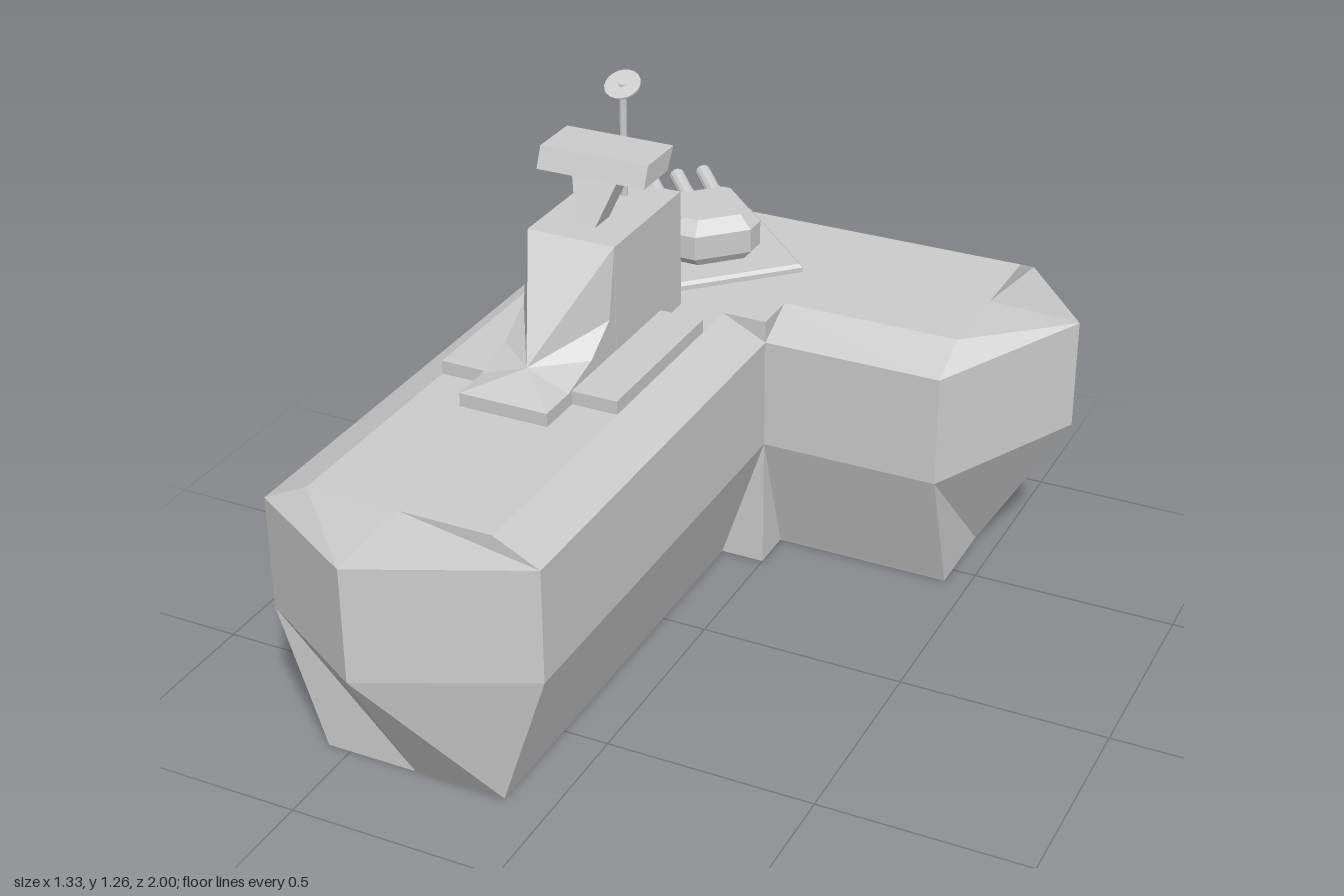
import * as THREE from 'three';

const material = new THREE.MeshStandardMaterial({ color: 0xcccccc, flatShading: true });

function part(name, geometry, x = 0, y = 0, z = 0) {
  const mesh = new THREE.Mesh(geometry, material);
  mesh.name = name;
  mesh.position.set(x, y, z);
  return mesh;
}

// Skin rings of [x, y, z] points, listed top to bottom, each counter-clockwise from above.
function loft(rings, capTop = true) {
  const out = [];
  const a = new THREE.Vector3(), b = new THREE.Vector3();
  const tri = (p, q, r) => {
    a.fromArray(q).sub(new THREE.Vector3(...p));
    b.fromArray(r).sub(new THREE.Vector3(...p));
    if (a.cross(b).lengthSq() > 1e-12) out.push(...p, ...q, ...r);
  };
  for (let k = 0; k < rings.length - 1; k++) {
    const t = rings[k], u = rings[k + 1];
    for (let i = 0; i < t.length; i++) {
      const j = (i + 1) % t.length;
      tri(t[i], u[i], u[j]);
      tri(t[i], u[j], t[j]);
    }
  }
  const cap = (ring, up) => {
    const flat = ring.map(p => new THREE.Vector2(p[0], p[2]));
    for (const [i, j, k] of THREE.ShapeUtils.triangulateShape(flat, [])) {
      const [p, q, r] = [ring[i], ring[j], ring[k]];
      const ny = (q[2] - p[2]) * (r[0] - p[0]) - (q[0] - p[0]) * (r[2] - p[2]);
      if ((ny > 0) === up) tri(p, q, r); else tri(p, r, q);
    }
  };
  if (capTop) cap(rings[0], true);
  cap(rings[rings.length - 1], false);
  const geometry = new THREE.BufferGeometry();
  geometry.setAttribute('position', new THREE.Float32BufferAttribute(out, 3));
  geometry.computeVertexNormals();
  return geometry;
}

const rect = (hx, y, z0, z1) => [[-hx, y, z0], [-hx, y, z1], [hx, y, z1], [hx, y, z0]];

// L-shaped hull: the two pointed ends sit a little higher than the rest of each ring.
function hull() {
  const wide = [
    [-0.667, 0.77], [-0.333, 1], [0, 0.77], [0, -0.335], [0, -0.335], [0, -0.335],
    [0.44, -0.335], [0.665, -0.667], [0.44, -1], [-0.333, -1], [-0.667, -0.667]];
  const inset = [
    [-0.556, 0.77], [-0.333, 0.77], [-0.11, 0.77], [-0.11, -0.335], [0, -0.335], [0, -0.445],
    [0.44, -0.445], [0.44, -0.667], [0.44, -0.89], [-0.29, -0.89], [-0.556, -0.62]];
  const ring = (points, y, tipY = y) =>
    points.map(([x, z], i) => [x, i === 1 || i === 7 ? tipY : y, z]);
  return part('hull', loft([
    ring(inset, 0.667), ring(wide, 0.612, 0.657), ring(wide, 0.335, 0.382), ring(inset, 0)]));
}

// Tower, faceted prow, bridge and mast
function superstructure() {
  const group = new THREE.Group();
  group.name = 'superstructure';
  group.position.x = -0.333;

  group.add(part('sideDeck', new THREE.BoxGeometry(0.445, 0.033, 0.44), 0, 0.6835, -0.005));
  group.add(part('tower', new THREE.BoxGeometry(0.222, 0.293, 0.335), 0, 0.8135, -0.1675));

  // Facets radiating from one raised point, over short vertical walls
  const side = [[0.11, 0.96, 0], [0.11, 0.79, 0.03], [0.11, 0.73, 0.12], [0.11, 0.7, 0.23], [0.11, 0.7, 0.33]];
  const rim = [...side.map(([x, y, z]) => [-x, y, z]), [0, 0.7, 0.33], ...side.slice().reverse()];
  const peak = rim.map(() => [0, 0.735, 0.22]);
  const foot = rim.map(([x, , z]) => [x, 0.667, z]);
  group.add(part('towerProw', loft([peak, rim, foot], false)));

  group.add(part('bridgeNeck', loft([rect(0.06, 1.066, -0.195, -0.123), rect(0.025, 0.96, -0.14, -0.07)])));
  group.add(part('bridge', loft([rect(0.137, 1.115, -0.247, -0.118), rect(0.137, 1.065, -0.215, -0.097)])));

  group.add(part('mast', new THREE.CylinderGeometry(0.009, 0.009, 0.275, 10), 0, 1.0975, -0.265));
  const dish = part('radarDish', new THREE.CylinderGeometry(0.043, 0.043, 0.004, 20), 0, 1.233, -0.265);
  dish.rotation.x = Math.PI / 6;
  group.add(dish);
  return group;
}

// Three-barrel turret on a square plate, turned towards the outer corner
function turret() {
  const group = new THREE.Group();
  group.name = 'turret';
  group.position.set(-0.287, 0.667, -0.62);
  group.rotation.y = -3 * Math.PI / 4;

  group.add(part('turretPlate', loft([
    rect(0.175, 0.02, -0.175, 0.175), rect(0.183, 0.012, -0.183, 0.183), rect(0.183, 0, -0.183, 0.183)])));

  const body = (h, y, cut) => [
    [-h, y, -h + cut], [-h, y, h - cut / 2], [-h + cut / 2, y, h], [h - cut / 2, y, h],
    [h, y, h - cut / 2], [h, y, -h + cut], [h - cut, y, -h], [-h + cut, y, -h]];
  group.add(part('turretBody', loft([
    body(0.085, 0.133, 0.03), body(0.112, 0.1, 0.04), body(0.112, 0.04, 0.04), body(0.1, 0.02, 0.04)])));

  for (const x of [-0.07, 0, 0.07]) {
    const barrel = new THREE.Group();
    barrel.name = 'gunBarrel';
    barrel.position.set(x, 0.075, 0.09);
    barrel.rotation.x = Math.PI / 2 - 0.26;
    barrel.add(part('barrelTube', new THREE.CylinderGeometry(0.019, 0.019, 0.15, 12), 0, 0.075, 0));
    barrel.add(part('barrelSleeve', new THREE.CylinderGeometry(0.023, 0.023, 0.06, 12), 0, 0.03, 0));
    group.add(barrel);
  }
  return group;
}

export function createModel() {
  const model = new THREE.Group();
  model.name = 'warship';
  model.add(hull(), superstructure(), turret());
  return model;
}
